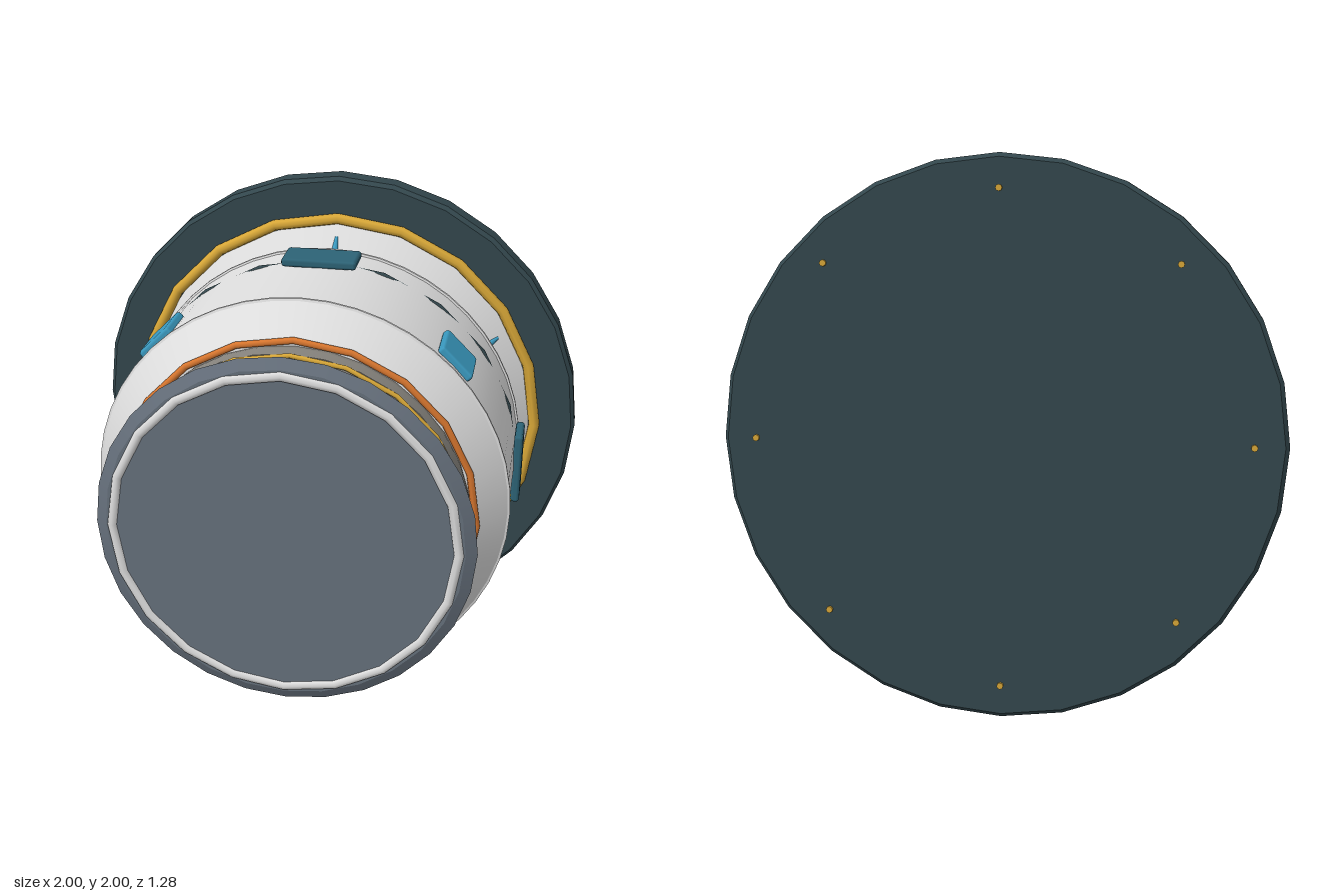
import * as THREE from 'three';
import { mergeGeometries } from 'three/addons/utils/BufferGeometryUtils.js';
import { RoundedBoxGeometry } from 'three/addons/geometries/RoundedBoxGeometry.js';

const paint = (name, color) => {
  const m = new THREE.MeshStandardMaterial({ color });
  m.name = name;
  return m;
};

// Turned part along z from [radius, z] points listed back to front, with sharp edges between sections
function turned(points, sides) {
  const sections = [];
  for (let i = 0; i + 1 < points.length; i++) {
    const pair = [points[i], points[i + 1]].map(([r, z]) => new THREE.Vector2(r, z));
    sections.push(new THREE.LatheGeometry(pair, sides));
  }
  return mergeGeometries(sections).rotateX(Math.PI / 2);
}

export function createModel() {
  const shell = paint('shell white', 0xdedede);
  const slate = paint('dark slate', 0x33474d);
  const steel = paint('steel grey', 0x66707c);
  const band = paint('band grey', 0x85827c);
  const gold = paint('gold', 0xd9a838);
  const orange = paint('orange', 0xd9772f);
  const teal = paint('dark teal', 0x2d6376);
  const blue = paint('bright blue', 0x3a9ac0);

  const model = new THREE.Group();
  const axis = new THREE.Group();
  axis.name = 'dockingModule';
  axis.position.y = 1;
  model.add(axis);

  const add = (name, geometry, material, parent = axis) => {
    const mesh = new THREE.Mesh(geometry, material);
    mesh.name = name;
    parent.add(mesh);
    return mesh;
  };
  const ring = (name, radius, tube, z, material) => {
    add(name, new THREE.TorusGeometry(radius, tube, 8, 20), material).position.z = z;
  };
  // Copies of a part around the axis; each is modelled with +x pointing outward
  const around = (name, count, start, geometry, material) => {
    const set = new THREE.Group();
    set.name = name + 's';
    axis.add(set);
    for (let i = 0; i < count; i++) {
      add(name, geometry, material, set).rotation.z = start + (i * 2 * Math.PI) / count;
    }
  };

  // Back flange
  add('flange', turned([
    [0, -0.63], [0.985, -0.63], [1, -0.615], [1, -0.535], [0.985, -0.52], [0, -0.52],
  ], 28), slate);
  ring('flangeRing', 0.834, 0.022, -0.513, gold);

  // Hull: flared neck, rear shoulder, drum with raised rims, front shoulder
  add('hull', turned([
    [0.81, -0.52], [0.665, -0.405], [0.675, -0.395], [0.773, -0.295],
    [0.782, -0.293], [0.782, -0.281], [0.774, -0.279],
    [0.774, 0.275], [0.782, 0.277], [0.782, 0.287], [0.773, 0.29],
    [0.67, 0.395], [0.63, 0.4],
  ], 48), shell);

  // Seam line showing through the drum
  ring('seam', 0.768, 0.014, -0.15, slate);

  // Front collar
  ring('collarRing', 0.668, 0.013, 0.4, orange);
  add('collar', turned([[0.645, 0.38], [0.65, 0.42], [0.645, 0.47], [0.6, 0.475]], 32), band);
  ring('collarTrim', 0.64, 0.009, 0.472, gold);

  // Flared nose with lip
  add('nose', turned([
    [0.612, 0.465], [0.612, 0.475], [0.69, 0.608], [0.65, 0.628], [0, 0.628],
  ], 28), steel);
  ring('noseLip', 0.627, 0.021, 0.618, shell);

  // Panels on the drum
  around('sidePanel', 4, 0,
    new RoundedBoxGeometry(0.034, 0.285, 0.152, 1, 0.012).translate(0.786, 0, -0.148), teal);
  around('cornerPanel', 4, Math.PI / 4,
    new RoundedBoxGeometry(0.034, 0.16, 0.185, 1, 0.012).translate(0.78, 0, 0.147), blue);

  // Tapered guide pins lying on the neck
  const pin = new THREE.CylinderGeometry(0.006, 0.026, 0.15, 10);
  pin.rotateZ(-Math.PI / 2).rotateY(0.72).translate(0.71, 0, -0.437);
  around('guidePin', 6, Math.PI / 6, pin, blue);

  // Bolts on the back face
  const bolt = new THREE.CylinderGeometry(0.012, 0.012, 0.02, 8);
  bolt.rotateX(Math.PI / 2).translate(0.88, 0, -0.63);
  around('bolt', 8, 0, bolt, gold);

  return model;
}
